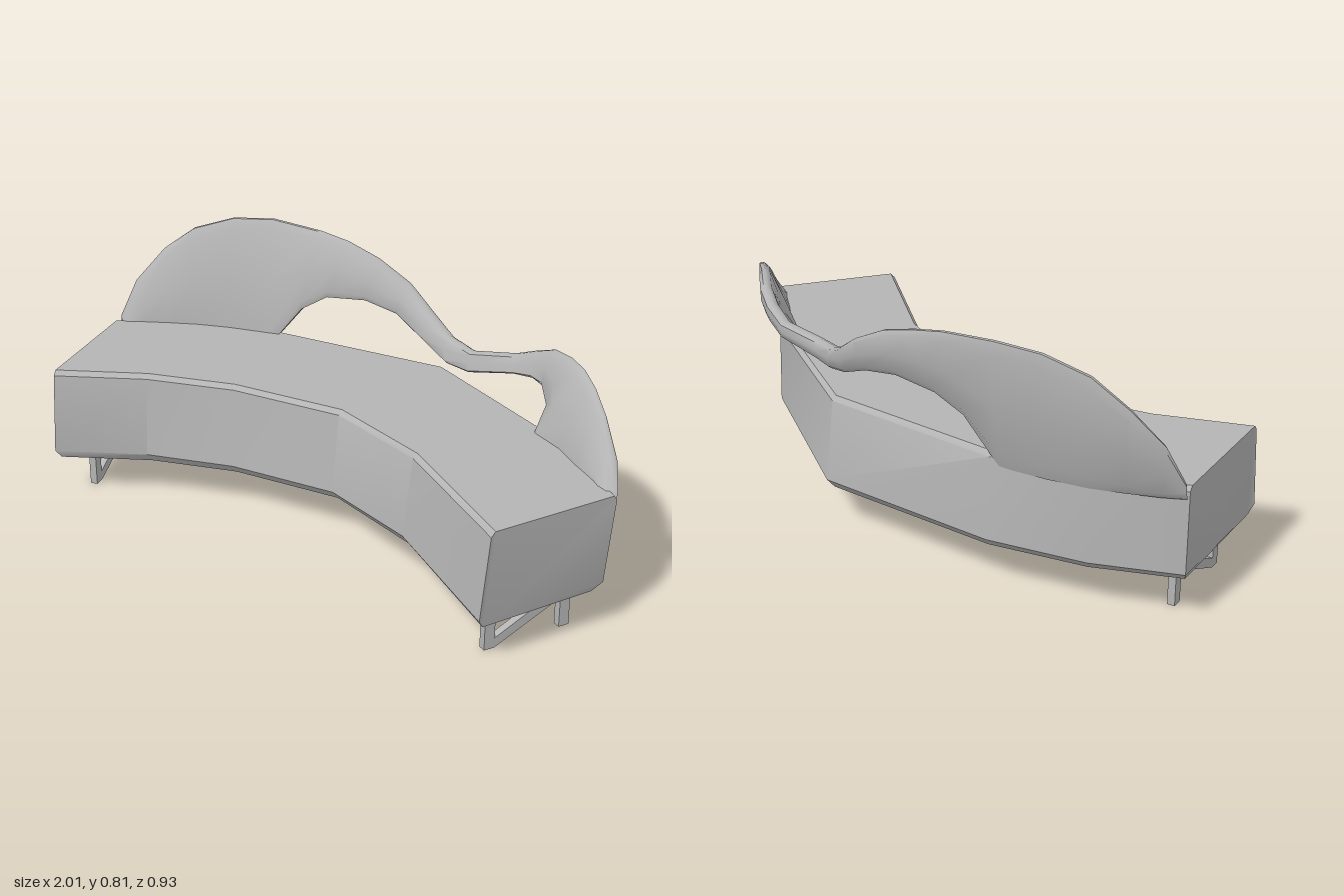
import * as THREE from 'three';
import { toCreasedNormals } from 'three/addons/utils/BufferGeometryUtils.js';

const upholstery = new THREE.MeshStandardMaterial({ color: 0xb4b4b4 });
upholstery.name = 'grey upholstery';

// Skin closed rings of points (front bottom, up and over to the back) running along +x, with end caps.
function loft(rings, crease) {
  const n = rings[0].length, last = (rings.length - 1) * n, index = [];
  for (let i = 0; i < rings.length - 1; i++) {
    for (let j = 0; j < n; j++) {
      const a = i * n + j, b = i * n + (j + 1) % n, c = b + n, d = a + n;
      index.push(a, d, c, a, c, b);
    }
  }
  for (let k = 1; k < n - 1; k++) {
    index.push(0, k, k + 1, last, last + k + 1, last + k);
  }
  const geometry = new THREE.BufferGeometry();
  geometry.setAttribute('position', new THREE.Float32BufferAttribute(rings.flat(2), 3));
  geometry.setIndex(index);
  return toCreasedNormals(geometry, crease);
}

// Curved seat block: front x, z; back x, z; how far the back leans in at the top
function seatGeometry() {
  const stations = [
    [-0.82, 0.465, -1.0, 0.0, 0],
    [-0.57, 0.285, -0.78, -0.17, 0],
    [-0.30, 0.16, -0.5, -0.31, 0.5],
    [0.06, 0.08, 0.1, -0.46, 1],
    [0.40, 0.15, 0.71, -0.24, 0.2],
    [0.86, 0.38, 1.0, -0.025, -1],
  ];
  // height, inset, lean share
  const levels = [[0.135, 0.025, 0], [0.165, 0, 0], [0.425, 0, 0.028], [0.44, 0.012, 0.03]];
  const rings = stations.map(([fx, fz, bx, bz, lean]) => {
    const d = new THREE.Vector2(bx - fx, bz - fz).normalize();
    const front = levels.map(([y, inset, l]) => {
      const s = inset + l, k = y < 0.15 ? 0.985 : 1;
      return [(fx + d.x * s) * k, y, fz + d.y * s];
    });
    const back = levels.map(([y, inset, l]) => {
      const s = inset + l * lean, k = y < 0.15 ? 0.985 : 1;
      return [(bx - d.x * s) * k, y, bz - d.y * s];
    });
    return [...front, ...back.reverse()];
  });
  return loft(rings, 0.62);
}

// Sweeping backrest: top x, y, z and bottom x, y, z of its middle surface
function backrestGeometry() {
  const stations = [
    [-0.99, 0.45, -0.01, -0.98, 0.40, 0.0],
    [-0.97, 0.57, -0.07, -0.93, 0.40, -0.045],
    [-0.91, 0.68, -0.15, -0.85, 0.40, -0.105],
    [-0.82, 0.76, -0.21, -0.77, 0.40, -0.16],
    [-0.70, 0.805, -0.28, -0.66, 0.40, -0.215],
    [-0.57, 0.815, -0.34, -0.52, 0.40, -0.27],
    [-0.40, 0.80, -0.385, -0.42, 0.54, -0.32],
    [-0.30, 0.78, -0.41, -0.34, 0.592, -0.36],
    [-0.18, 0.745, -0.425, -0.20, 0.607, -0.395],
    [-0.06, 0.685, -0.44, -0.08, 0.585, -0.415],
    [0.05, 0.615, -0.42, 0.05, 0.53, -0.40],
    [0.15, 0.575, -0.385, 0.17, 0.495, -0.37],
    [0.26, 0.56, -0.365, 0.26, 0.495, -0.36],
    [0.40, 0.58, -0.40, 0.41, 0.525, -0.39],
    [0.48, 0.615, -0.395, 0.50, 0.543, -0.37],
    [0.56, 0.65, -0.37, 0.56, 0.54, -0.345],
    [0.65, 0.667, -0.32, 0.615, 0.495, -0.29],
    [0.72, 0.66, -0.285, 0.60, 0.40, -0.235],
    [0.79, 0.635, -0.24, 0.72, 0.40, -0.195],
    [0.86, 0.59, -0.19, 0.82, 0.40, -0.135],
    [0.94, 0.51, -0.12, 0.92, 0.40, -0.08],
    [0.985, 0.44, -0.06, 0.975, 0.40, -0.03],
  ];
  // position up the section, offset towards the back
  const section = [
    [0, -0.014], [0.12, -0.024], [0.5, -0.022], [0.93, -0.016], [1, -0.004],
    [1, 0.008], [0.9, 0.021], [0.5, 0.028], [0.12, 0.024], [0, 0.014],
  ];
  const rings = stations.map(([tx, ty, tz, bx, by, bz], i) => {
    const p = stations[Math.max(i - 1, 0)];
    const q = stations[Math.min(i + 1, stations.length - 1)];
    // horizontal normal of the plan curve, pointing backwards
    const n = new THREE.Vector2(q[2] - p[2], p[0] - q[0]).normalize();
    return section.map(([t, o]) => [
      THREE.MathUtils.clamp(bx + (tx - bx) * t + n.x * o, -1, 1),
      by + (ty - by) * t,
      bz + (tz - bz) * t + n.y * o,
    ]);
  });
  return loft(rings, 0.9);
}

// Leg frame: two posts joined by a rising diagonal bar
function legFrame(name, fx, fz, bx, bz) {
  const length = Math.hypot(bx - fx, bz - fz), w = 0.0175, h = 0.145;
  const polygon = (points) => new THREE.Shape(points.map(([x, y]) => new THREE.Vector2(x, y)));
  const post = (u) => polygon([[u - w, 0], [u + w, 0], [u + w, h], [u - w, h]]);
  const bar = polygon([[w, 0], [length - w, 0.1], [length - w, 0.135], [w, 0.032]]);
  const geometry = new THREE.ExtrudeGeometry([post(0), post(length), bar], { depth: 0.024, bevelEnabled: false });
  geometry.translate(0, 0, -0.012);
  const mesh = new THREE.Mesh(geometry, upholstery);
  mesh.name = name;
  mesh.position.set(fx, 0, fz);
  mesh.rotation.y = Math.atan2(fz - bz, bx - fx);
  return mesh;
}

export function createModel() {
  const sofa = new THREE.Group();
  sofa.name = 'curvedSofa';

  const seat = new THREE.Mesh(seatGeometry(), upholstery);
  seat.name = 'seat';
  const backrest = new THREE.Mesh(backrestGeometry(), upholstery);
  backrest.name = 'backrest';

  sofa.add(
    seat,
    backrest,
    legFrame('rightLeg', -0.797, 0.317, -0.889, 0.072),
    legFrame('leftLeg', 0.805, 0.26, 0.895, 0.017),
  );
  return sofa;
}
